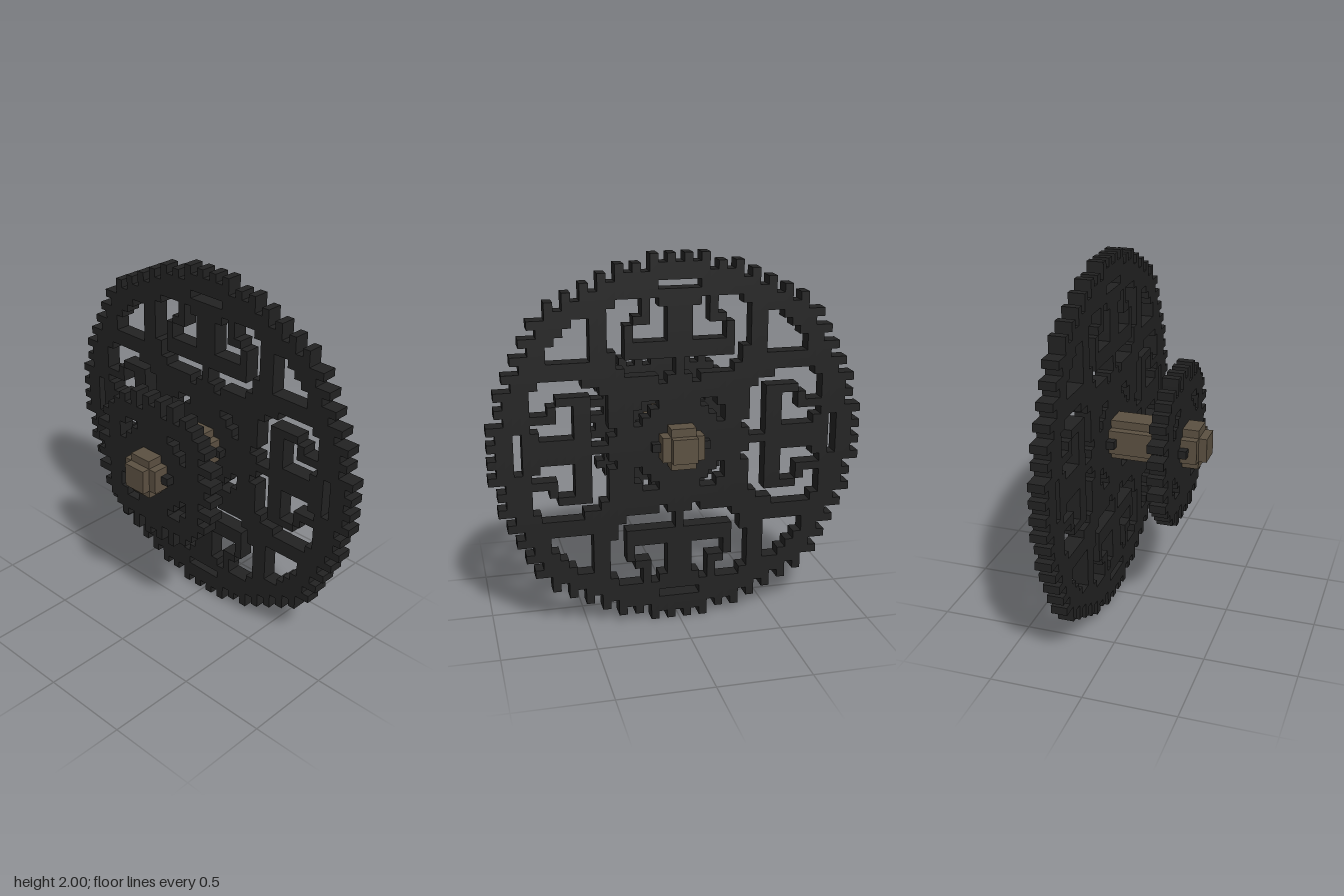
import * as THREE from 'three';
import { mergeGeometries } from 'three/addons/utils/BufferGeometryUtils.js';

const C = 2 / 45; // size of one block

// Slab in the y-z plane made of blocks, with only its outer faces.
// solid(i, j) tells if a block at |z| = i, |y| = j is filled.
function blockSlab(radius, thickness, solid) {
  const parts = [];
  const filled = (z, y) => solid(Math.abs(z), Math.abs(y));
  const half = thickness / 2;
  for (let z = -radius; z <= radius; z++) {
    for (let y = -radius; y <= radius; y++) {
      if (!filled(z, y)) continue;
      for (const s of [-1, 1]) {
        parts.push(new THREE.PlaneGeometry(C, C).rotateY(s * Math.PI / 2).translate(s * half, y * C, z * C));
        if (!filled(z + s, y))
          parts.push(new THREE.PlaneGeometry(thickness, C).rotateY(s > 0 ? 0 : Math.PI).translate(0, y * C, (z + s / 2) * C));
        if (!filled(z, y + s))
          parts.push(new THREE.PlaneGeometry(thickness, C).rotateX(-s * Math.PI / 2).translate(0, (y + s / 2) * C, z * C));
      }
    }
  }
  return mergeGeometries(parts);
}

// Outermost filled block for each column; odd columns carry teeth
const BIG = [21, 22, 21, 22, 20, 21, 20, 21, 19, 20, 18, 19, 17, 18, 16, 17, 15, 15, 13, 11, 9, 7, 3];
const SMALL = [8, 9, 7, 9, 7, 8, 7, 6, 5, 3];
const inside = (H, i, j) => i < H.length && j < H.length && j <= H[i] && i <= H[j];

const axleSection = (i, j) => i <= 2 && j <= 2 && i + j < 4;
const hubHole = (i, j) => i >= 3 && j >= 3 && i <= 5 && j <= 5 && (i + j === 8 || i + j === 9);

// Scrollwork openings as [column, first row, last row], mirrored to all sides
const SCROLL = [
  [0, 19, 19], [1, 19, 19], [2, 19, 19],             // slot in the rim
  [2, 13, 16], [3, 13, 17], [4, 13, 14], [5, 13, 14], // inside the curl
  [5, 16, 17], [6, 15, 17], [7, 10, 17], [8, 12, 16], // outside the curl
  [1, 9, 10], [2, 8, 10], [3, 9, 10], [4, 9, 10], [5, 9, 10], [6, 9, 10],
];
const scroll = (i, j) => SCROLL.some(([c, a, b]) => i === c && j >= a && j <= b);
const corner = (i, j) => i >= 11 && j >= 11 && i <= 15 && j <= 15 && i + j <= 27;

const bigGear = (i, j) => inside(BIG, i, j) && !axleSection(i, j) && !hubHole(i, j)
  && !scroll(i, j) && !scroll(j, i) && !corner(i, j);
const smallGear = (i, j) => inside(SMALL, i, j) && !axleSection(i, j) && !hubHole(i, j);

export function createModel() {
  const model = new THREE.Group();
  const iron = new THREE.MeshStandardMaterial({ color: 0x222222 });
  iron.name = 'dark iron';
  const wood = new THREE.MeshStandardMaterial({ color: 0x5b5041 });
  wood.name = 'brown wood';

  const add = (name, geometry, material, x) => {
    const mesh = new THREE.Mesh(geometry, material);
    mesh.name = name;
    mesh.position.set(x, 1, 0);
    model.add(mesh);
  };

  // Gears
  add('largeGear', blockSlab(22, 2 * C, bigGear), iron, 4.5 * C);
  add('smallGear', blockSlab(9, 2 * C, smallGear), iron, -4.5 * C);

  // Axle with stepped ends
  add('axle', blockSlab(2, 15 * C, axleSection), wood, 0);
  for (const s of [-1, 1]) {
    add(s > 0 ? 'leftAxleEnd' : 'rightAxleEnd', new THREE.BoxGeometry(C, 3 * C, 3 * C), wood, s * 8 * C);
    // Pins locking each gear to the axle
    add(s > 0 ? 'leftLockingPin' : 'rightLockingPin', new THREE.BoxGeometry(4 * C, C, 7 * C), iron, s * 4.5 * C);
  }
  return model;
}
